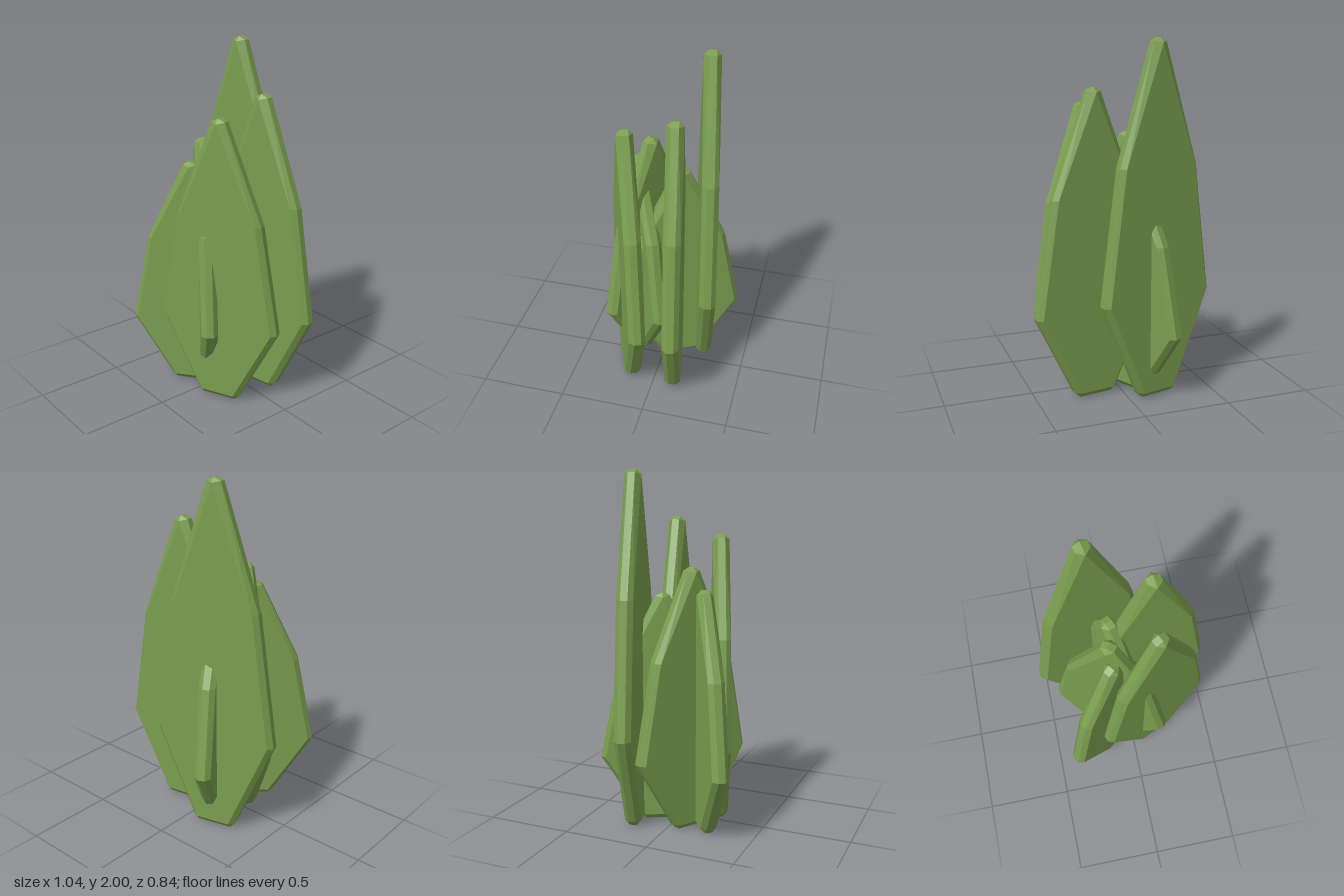
import * as THREE from 'three';
import { ConvexGeometry } from 'three/addons/geometries/ConvexGeometry.js';

// One bevelled leaf slab standing on y = 0, facing z
function leafGeometry(h) {
  const rim = [[0.1, 0], [0.13, 0.03], [0.358, 0.285 * h], [0.255, 0.66 * h], [0.04, h - 0.018], [0, h]];
  const face = [[0.1, 0.03], [0.33, 0.285 * h], [0.229, 0.66 * h], [0, h - 0.027]];
  const points = [];
  const add = (outline, depth) => {
    for (const [x, y] of outline)
      for (const sx of x ? [1, -1] : [1])
        for (const sz of [1, -1]) points.push(new THREE.Vector3(sx * x, y, sz * depth));
  };
  add(rim, 0.02); // outer edge band
  add(face, 0.047); // flat front and back
  return new ConvexGeometry(points);
}

export function createModel() {
  const group = new THREE.Group();
  group.name = 'leafCluster';
  const material = new THREE.MeshStandardMaterial({ color: 0x7a9e4f, flatShading: true });

  // height, x, z, turn in degrees
  const leaves = [
    ['backLeaf', 2.0, -0.17, -0.22, 14],
    ['backLeftLeaf', 1.74, 0.16, -0.105, 10],
    ['frontLeftLeaf', 1.645, 0.135, 0.175, 24],
    ['middleLeaf', 1.48, -0.115, 0.1, -32],
    ['frontRightLeaf', 1.36, -0.117, 0.18, 37.5],
    ['crossingLeaf', 1.33, -0.08, -0.09, -65],
  ];
  for (const [name, h, x, z, turn] of leaves) {
    const leaf = new THREE.Mesh(leafGeometry(h), material);
    leaf.name = name;
    leaf.position.set(x, 0, z);
    leaf.rotation.y = THREE.MathUtils.degToRad(turn);
    group.add(leaf);
  }
  return group;
}
